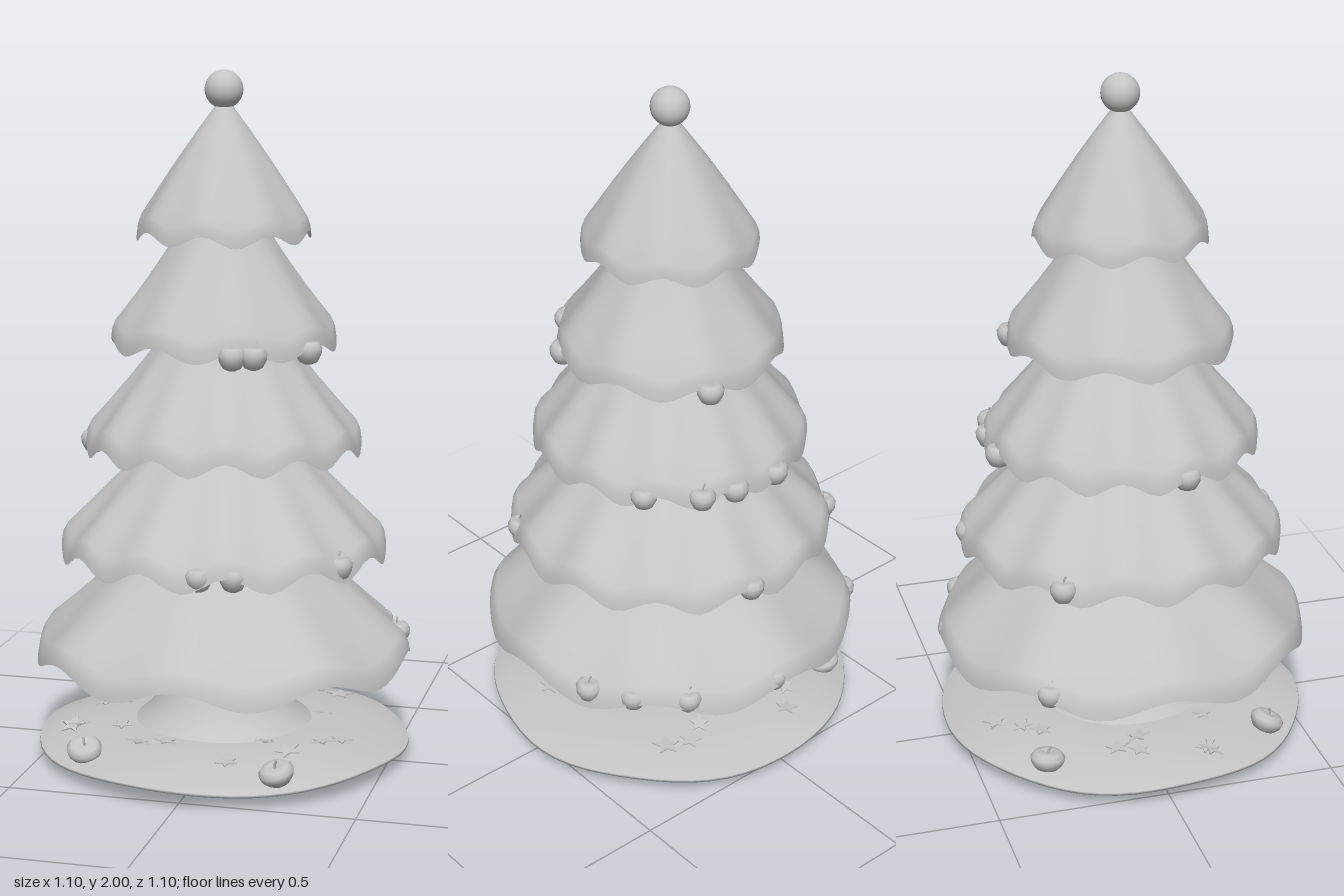
import * as THREE from 'three';
import { mergeVertices } from 'three/addons/utils/BufferGeometryUtils.js';

const grey = new THREE.MeshStandardMaterial({ color: 0xc4c4c4, side: THREE.DoubleSide });
grey.name = 'matte grey';

function mesh(name, geometry, parent) {
  const m = new THREE.Mesh(geometry, grey);
  m.name = name;
  parent.add(m);
  return m;
}

function seeded(seed) {
  return () => (seed = (seed * 16807) % 2147483647) / 2147483647;
}

// Lathe whose vertices are shifted by rule(point, angle), then smoothed without a seam
function shapedLathe(points, segments, rule) {
  let g = new THREE.LatheGeometry(points.map(([r, y]) => new THREE.Vector2(r, y)), segments);
  const p = g.attributes.position, v = new THREE.Vector3();
  for (let i = 0; i < p.count; i++) {
    v.fromBufferAttribute(p, i);
    rule(v, Math.atan2(v.x, v.z));
    p.setXYZ(i, v.x, v.y, v.z);
  }
  g.deleteAttribute('uv');
  g.deleteAttribute('normal');
  g = mergeVertices(g, 1e-5);
  g.computeVertexNormals();
  return g;
}

// Branch skirt: flared cone with soft folds whose wavy hem turns down at the rim
function tierGeometry(topY, hemY, topR, midR, hemR, folds, sign) {
  const drop = topY - hemY;
  const pts = [[hemR, hemY], [hemR * 0.99, hemY + drop * 0.06]];
  for (let i = 0; i <= 8; i++) {
    const t = 1 - i / 8;
    const r = topR * (1 - t) ** 2 + 2 * midR * t * (1 - t) + hemR * 0.96 * t * t;
    pts.push([r, topY - drop * 0.88 * t]);
  }
  const amp = 0.008 + 0.032 * hemR;
  return shapedLathe(pts, 96, (v, a) => {
    const t = Math.max(0, (topY - v.y) / drop);
    v.y += amp * sign * Math.cos(folds * a) * t ** 2.5;
  });
}

// Apple body with a dimple at top and bottom
const appleBody = new THREE.LatheGeometry([
  [0, -0.026], [0.012, -0.034], [0.026, -0.027], [0.037, -0.006],
  [0.039, 0.012], [0.03, 0.028], [0.014, 0.032], [0, 0.021],
].map(([r, y]) => new THREE.Vector2(r, y)), 16);
const appleStem = new THREE.TubeGeometry(new THREE.QuadraticBezierCurve3(
  new THREE.Vector3(0, 0.02, 0), new THREE.Vector3(0, 0.035, 0), new THREE.Vector3(0.007, 0.046, 0)), 4, 0.003, 5);

function apple(name, x, y, z, parent) {
  const g = new THREE.Group();
  g.name = name;
  mesh('appleBody', appleBody, g);
  mesh('appleStem', appleStem, g);
  g.position.set(x, y, z);
  parent.add(g);
  return g;
}

// Small pointed leaf star
function leafGeometry() {
  const s = new THREE.Shape();
  for (let i = 0; i < 10; i++) {
    const a = (i / 10) * Math.PI * 2, r = i % 2 ? 0.016 : 0.036;
    s[i ? 'lineTo' : 'moveTo'](Math.cos(a) * r, Math.sin(a) * r);
  }
  return new THREE.ExtrudeGeometry(s, { depth: 0.004, bevelEnabled: false }).rotateX(-Math.PI / 2);
}

export function createModel() {
  const tree = new THREE.Group();
  tree.name = 'decoratedTree';

  // Ground disc with an uneven rim
  mesh('ground', shapedLathe([
    [0, 0.03], [0.3, 0.03], [0.48, 0.027], [0.55, 0.04], [0.548, 0.047],
    [0.48, 0.066], [0.38, 0.088], [0.26, 0.098], [0, 0.1],
  ], 64, (v, a) => {
    const r = Math.hypot(v.x, v.z), t = (r / 0.55) ** 3;
    const s = 1 - 0.006 * t * (1 - Math.cos(7 * a + 0.6));
    v.x *= s;
    v.z *= s;
    v.y += 0.006 * t * Math.cos(5 * a + 1);
  }), tree);

  // Trunk with flared foot
  mesh('trunk', shapedLathe([
    [0.27, 0.09], [0.225, 0.125], [0.19, 0.175], [0.158, 0.25], [0.127, 0.33], [0.1, 0.42], [0.087, 0.7],
  ], 32, () => {}), tree);

  // Five branch tiers: top y, hem y, top radius, mid radius, hem radius, folds, fold sign
  [
    [1.915, 1.535, 0.012, 0.14, 0.25, 8, 1],
    [1.68, 1.225, 0.05, 0.16, 0.325, 8, -1],
    [1.4, 0.922, 0.06, 0.21, 0.4, 12, -1],
    [1.1, 0.615, 0.07, 0.25, 0.475, 12, -1],
    [0.8, 0.305, 0.09, 0.29, 0.55, 8, 1],
  ].forEach((t, i) => mesh('branchTier' + (i + 1), tierGeometry(...t), tree));

  // Ball on the tip
  mesh('topBall', new THREE.SphereGeometry(0.055, 32, 20).translate(0, 1.945, 0), tree);

  // Apples hanging on the hems: height, then x z pairs
  const apples = new THREE.Group();
  apples.name = 'hangingApples';
  tree.add(apples);
  [
    [1.225, [[0.1, 0.3], [0.155, 0.275], [0.28, 0.137], [0.108, -0.298]]],
    [0.93, [[-0.367, 0.088], [0.297, -0.237], [0.177, -0.347], [0.078, -0.374], [-0.066, -0.38]]],
    [0.63, [[0.042, 0.443], [0.135, 0.422], [0.39, 0.222], [0.074, -0.443], [-0.37, -0.272]]],
    [0.33, [[0.041, -0.512], [0.296, -0.43], [0.41, -0.32], [0.482, -0.207], [-0.413, -0.324]]],
  ].forEach(([y, spots]) => spots.forEach(([x, z]) => {
    apple('apple', x, y, z, apples).rotation.y = Math.atan2(x, z);
  }));

  // Fallen apples sunk into the ground
  [[0.26, 0.42], [-0.32, 0.36], [-0.35, -0.32]].forEach(([x, z], i) => {
    const a = apple('fallenApple', x, 0.08, z, tree);
    a.rotation.set(0.25, i * 2, 0.2);
    a.scale.set(1.3, 0.9, 1.3);
  });

  // Leaves strewn over the ground, every third one poking through it
  const rand = seeded(77), leaf = leafGeometry();
  const leaves = new THREE.Group();
  leaves.name = 'fallenLeaves';
  tree.add(leaves);
  for (let i = 0; i < 30; i++) {
    const low = i % 3 === 0;
    const a = i * 2.4 + rand() * 0.5, r = 0.29 + rand() * 0.16;
    const m = mesh('leaf', leaf, leaves);
    m.position.set(Math.sin(a) * r, low ? 0.028 : 0.11 - (r - 0.26) * 0.16, Math.cos(a) * r);
    m.rotation.set(low ? 0.9 : (rand() - 0.5) * 0.5, rand() * 6, (rand() - 0.5) * 0.4);
    m.scale.setScalar(low ? 0.95 : 0.8 + rand() * 0.4);
  }
  return tree;
}
